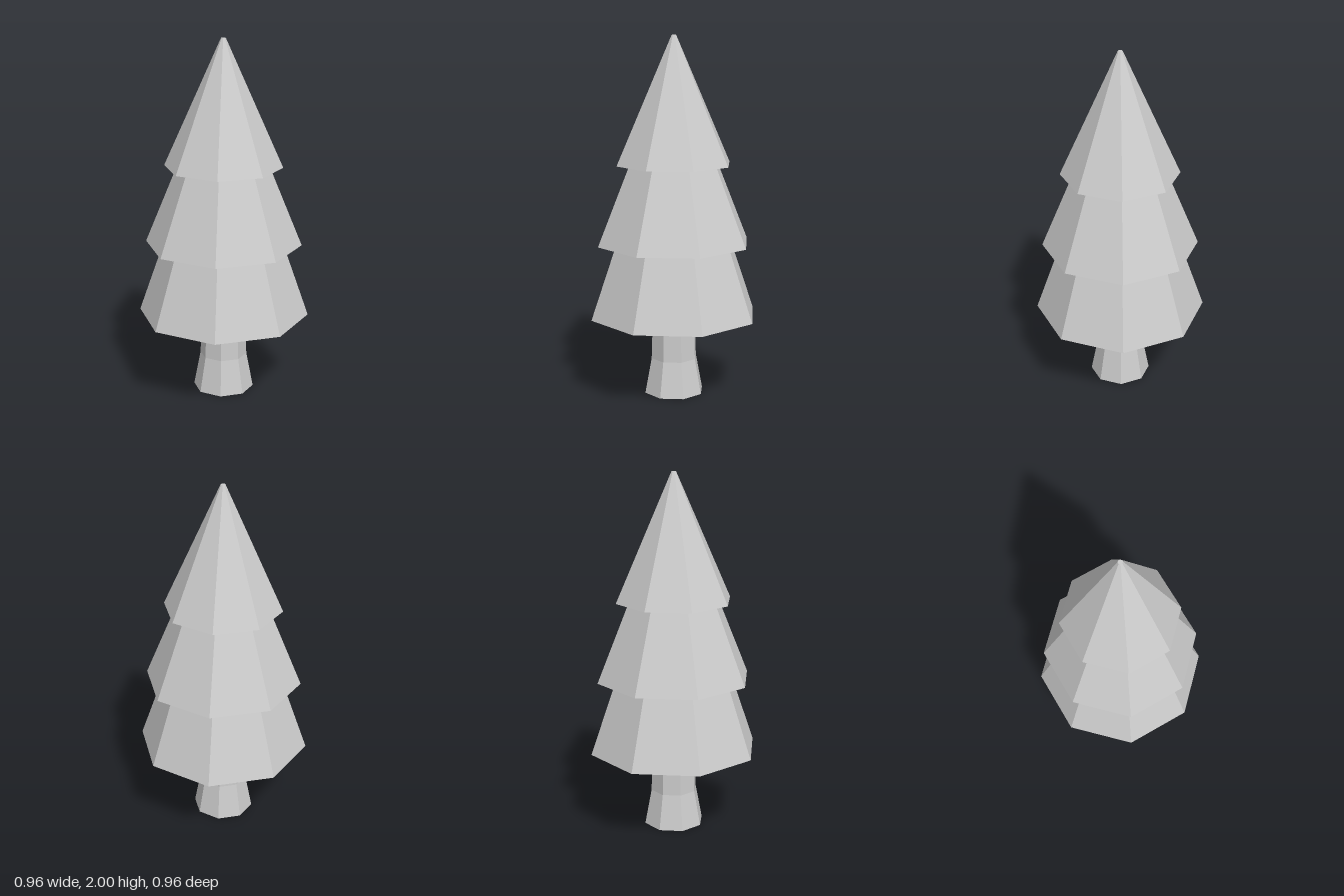
import * as THREE from 'three';

const SIDES = 8;

export function createModel() {
  const tree = new THREE.Group();
  tree.name = 'pineTree';

  const foliageMaterial = new THREE.MeshStandardMaterial({ color: 0xcccccc, flatShading: true });
  const trunkMaterial = new THREE.MeshStandardMaterial({
    color: 0xcccccc, flatShading: true, side: THREE.DoubleSide,
  });

  // Trunk: hollow octagonal tube, flared towards the open foot
  const trunkProfile = [[0.17, 0], [0.132, 0.2], [0.124, 0.46]]
    .map(([r, y]) => new THREE.Vector2(r, y));
  const trunk = new THREE.Mesh(new THREE.LatheGeometry(trunkProfile, SIDES), trunkMaterial);
  trunk.name = 'trunk';
  tree.add(trunk);

  // Foliage: three closed octagonal tiers, each tucked slightly into the one above
  const tiers = [
    { name: 'lowerFoliage', bottom: 0.45, top: 0.9, rBottom: 0.478, rTop: 0.321 },
    { name: 'middleFoliage', bottom: 0.86, top: 1.34, rBottom: 0.436, rTop: 0.239 },
    { name: 'upperFoliage', bottom: 1.3, top: 2, rBottom: 0.327, rTop: 0.013 },
  ];
  for (const { name, bottom, top, rBottom, rTop } of tiers) {
    const tier = new THREE.Mesh(
      new THREE.CylinderGeometry(rTop, rBottom, top - bottom, SIDES), foliageMaterial);
    tier.position.y = (bottom + top) / 2;
    tier.name = name;
    tree.add(tier);
  }

  return tree;
}
